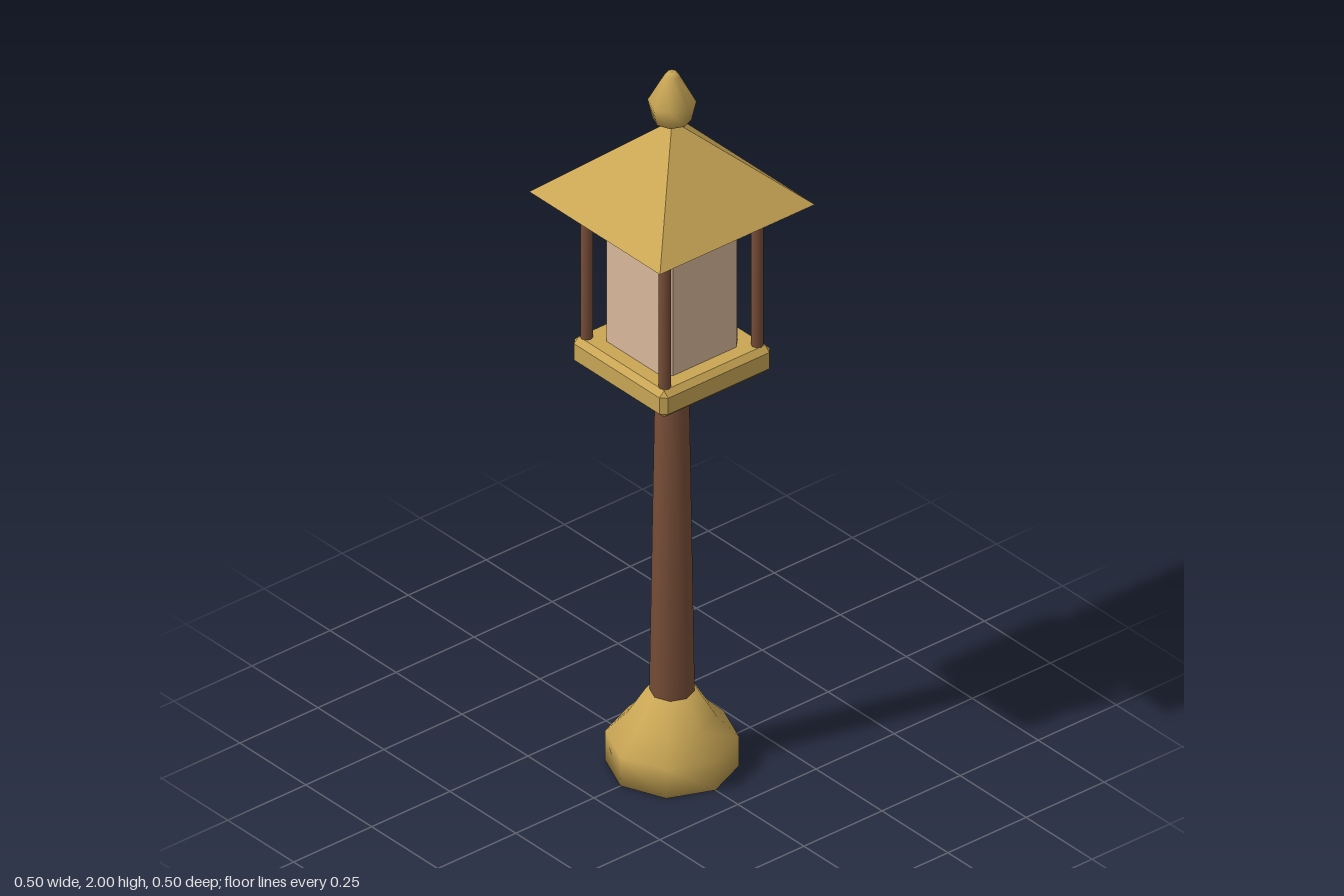
import * as THREE from 'three';
import { ConvexGeometry } from 'three/addons/geometries/ConvexGeometry.js';

const SIDES = 8;

// Closed, smooth lathe from [radius, height] pairs
function turned(points, sides = SIDES) {
  return new THREE.LatheGeometry(points.map(([r, y]) => new THREE.Vector2(r, y)), sides);
}

// Box between two heights with every edge cut at 45 degrees
function chamferedBox(half, bottom, top, cut) {
  const h = (top - bottom) / 2, mid = (top + bottom) / 2;
  const points = [];
  for (const sx of [-1, 1]) for (const sy of [-1, 1]) for (const sz of [-1, 1]) {
    for (const [a, b, c] of [[0, cut, cut], [cut, 0, cut], [cut, cut, 0]]) {
      points.push(new THREE.Vector3(sx * (half - a), mid + sy * (h - b), sz * (half - c)));
    }
  }
  return new ConvexGeometry(points);
}

export function createModel() {
  const brass = new THREE.MeshStandardMaterial({ color: 0xc9a655 });
  brass.name = 'brass';
  const brassFlat = brass.clone();
  brassFlat.flatShading = true;
  brassFlat.name = 'brass faceted';
  const wood = new THREE.MeshStandardMaterial({ color: 0x784e38 });
  wood.name = 'dark wood';
  const glass = new THREE.MeshStandardMaterial({ color: 0xdab89b, flatShading: true });
  glass.name = 'frosted glass';

  const model = new THREE.Group();
  model.name = 'lampPost';
  const add = (name, geometry, material) => {
    const mesh = new THREE.Mesh(geometry, material);
    mesh.name = name;
    model.add(mesh);
    return mesh;
  };

  // Foot, tapered pole and collar
  add('base', turned([[0, 0], [0.165, 0], [0.165, 0.083], [0.11, 0.14], [0.065, 0.212], [0, 0.212]]), brass);
  add('pole', turned([[0, 0.2], [0.056, 0.2], [0.042, 1.1], [0, 1.1]]), wood);
  add('collar', turned([[0, 1.09], [0.077, 1.09], [0.077, 1.15], [0, 1.15]]), brass);

  // Lantern
  add('platform', chamferedBox(0.177, 1.145, 1.222, 0.015), brassFlat);
  add('lanternGlass', chamferedBox(0.124, 1.195, 1.595, 0.023), glass);
  for (const x of [-1, 1]) for (const z of [-1, 1]) {
    const post = add('cornerPost', turned([[0, 1.2], [0.0155, 1.2], [0.0155, 1.62], [0, 1.62]]), wood);
    post.position.set(x * 0.148, 0, z * 0.148);
  }

  // Four-sided roof
  const roof = new THREE.CylinderGeometry(0, 0.248 * Math.SQRT2, 0.225, 4, 1);
  roof.rotateY(Math.PI / 4);
  roof.translate(0, 1.7475, 0);
  add('roof', roof, brassFlat);

  // Finial
  add('finial', turned([[0, 1.865], [0.048, 1.865], [0.06, 1.918], [0.02, 1.99], [0.012, 2], [0, 2]]), brass);

  return model;
}
